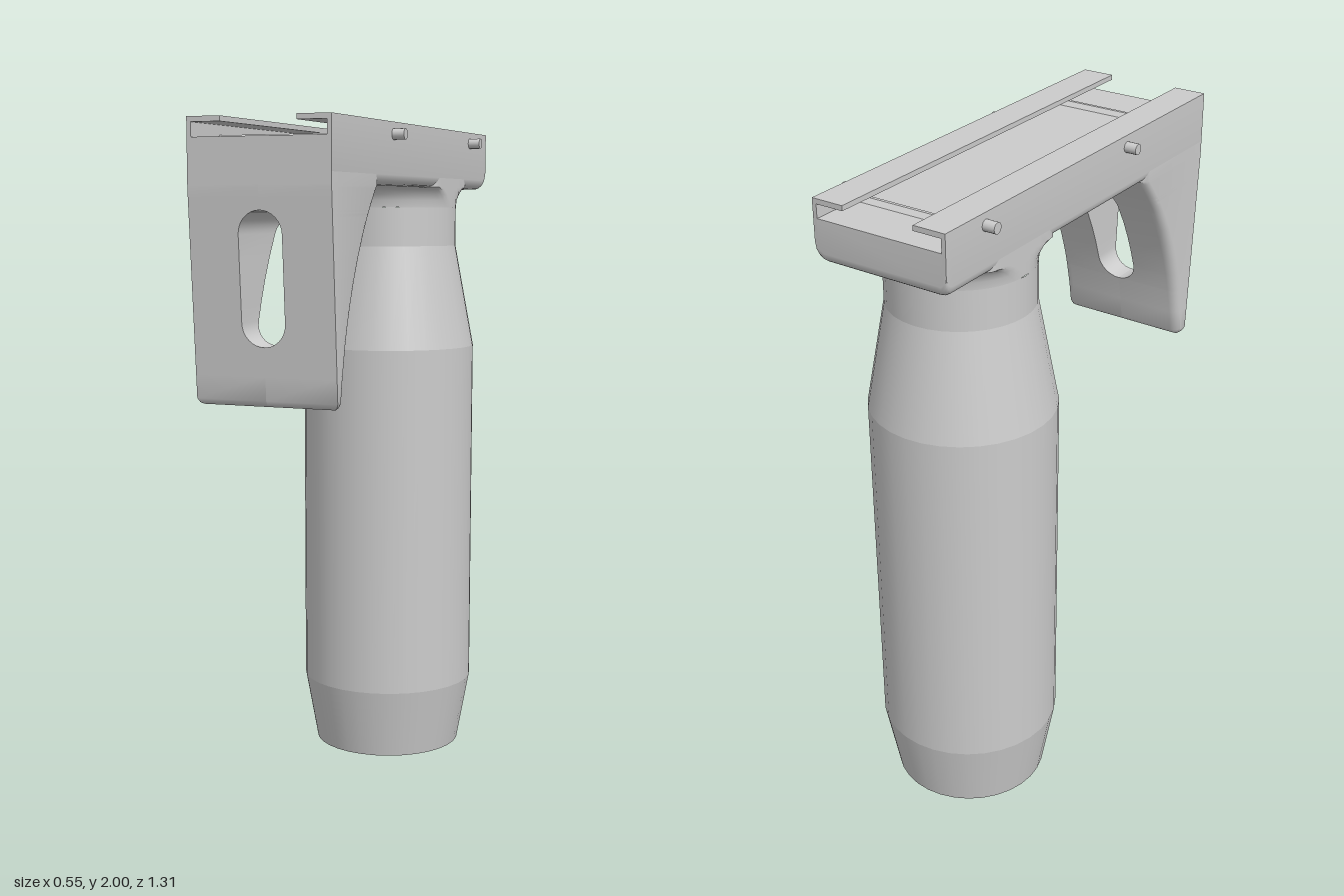
import * as THREE from 'three';
import { toCreasedNormals } from 'three/addons/utils/BufferGeometryUtils.js';

const material = new THREE.MeshStandardMaterial({ color: 0xcccccc });
const HALF = 0.213, ROUND = 0.03, GRIP_Z = -0.31;

function add(parent, name, geometry, x = 0, y = 0, z = 0) {
  const mesh = new THREE.Mesh(geometry, material);
  mesh.name = name;
  mesh.position.set(x, y, z);
  parent.add(mesh);
  return mesh;
}

// Skin equal-length rings, counterclockwise about the travel axis, and cap both ends.
function loft(rings, flatten) {
  const n = rings[0].length, last = (rings.length - 1) * n, index = [];
  for (let i = 0; i < rings.length - 1; i++) {
    for (let j = 0; j < n; j++) {
      const a = i * n + j, b = i * n + (j + 1) % n;
      index.push(a, b, b + n, a, b + n, a + n);
    }
  }
  for (const [a, b, c] of THREE.ShapeUtils.triangulateShape(rings[0].map(flatten), [])) {
    index.push(a, c, b);
  }
  for (const [a, b, c] of THREE.ShapeUtils.triangulateShape(rings[rings.length - 1].map(flatten), [])) {
    index.push(last + a, last + b, last + c);
  }
  const geometry = new THREE.BufferGeometry();
  geometry.setAttribute('position', new THREE.Float32BufferAttribute(rings.flat(2), 3));
  geometry.setIndex(index);
  return toCreasedNormals(geometry, 0.6);
}

// Rail section: T-slot open at the top, rounded lower corners.
function railRing(z, lift) {
  const right = [];
  for (let k = 0; k <= 4; k++) {
    const a = k * Math.PI / 8;
    right.push([HALF - ROUND + ROUND * Math.sin(a), 1.82 + lift + ROUND * (1 - Math.cos(a))]);
  }
  right.push([HALF, 2], [0.113, 2], [0.113, 1.985], [0.2, 1.985], [0.2, 1.945]);
  const left = right.map(([x, y]) => [-x, y]).reverse();
  return [...right, ...left].map(([x, y]) => [x, y, z]);
}

function railGeometry() {
  const rings = [];
  for (let k = 0; k <= 4; k++) {
    const a = k * Math.PI / 8;
    rings.push(railRing(-0.655 + ROUND * (1 - Math.cos(a)), ROUND * (1 - Math.sin(a))));
  }
  rings.push(railRing(0.655, 0));
  return loft(rings, p => new THREE.Vector2(p[0], p[1]));
}

// Front guard outline as depth against height.
const guardFront = y => 0.655 - 0.04 * Math.max(0, 1.81 - y) / 0.59;
function guardBack(y) {
  const t = (-0.46 + Math.sqrt(0.2116 + 0.48 * Math.max(0, 1.82 - y))) / 0.24;
  return 0.31 * (1 - t) ** 2 + 1.04 * t * (1 - t) + 0.57 * t * t;
}

// One half of the guard; the inner wall follows the rounded slot.
function guardHalf(side) {
  const r = 0.065, low = 1.445, high = 1.685;
  const rows = [[1.215, 0, 0.014], [1.22, 0, 0.006], [1.232, 0, 0], [1.3, 0, 0]];
  for (let k = 0; k <= 8; k++) {
    const a = k * Math.PI / 16;
    rows.push([low - r * Math.cos(a), r * Math.sin(a), 0]);
  }
  for (const y of [1.5, 1.56, 1.62]) rows.push([y, r, 0]);
  for (let k = 0; k <= 8; k++) {
    const a = k * Math.PI / 16;
    rows.push([high + r * Math.sin(a), r * Math.cos(a), 0]);
  }
  for (const y of [1.78, 1.81, 1.82, 1.86]) rows.push([y, 0, 0]);

  const rings = rows.map(([y, w, inset]) => {
    const front = guardFront(y) - inset, back = guardBack(y) + inset, outer = HALF - inset;
    const c = Math.min(ROUND, (front - back) * 0.8);
    const ring = [[w, y, back], [w, y, front], [outer, y, front]];
    for (let k = 0; k <= 4; k++) {
      const a = k * Math.PI / 8;
      ring.push([outer - c * (1 - Math.cos(a)), y, back + c * (1 - Math.sin(a))]);
    }
    return side > 0 ? ring : ring.map(([x, h, z]) => [-x, h, z]).reverse();
  });
  return loft(rings, p => new THREE.Vector2(p[2], p[0]));
}

// Flare under the rail, trimmed flush with the rail sides.
function collarGeometry() {
  const profile = [[0.215, 1.76], [0.217, 1.782], [0.224, 1.8], [0.235, 1.814], [0.252, 1.822], [0.252, 1.85]];
  const geometry = new THREE.LatheGeometry(profile.map(p => new THREE.Vector2(...p)), 64);
  const pos = geometry.attributes.position;
  for (let i = 0; i < pos.count; i++) {
    pos.setX(i, THREE.MathUtils.clamp(pos.getX(i), -HALF, HALF));
  }
  return toCreasedNormals(geometry, 0.6);
}

export function createModel() {
  const model = new THREE.Group();
  model.name = 'verticalGrip';

  add(model, 'rail', railGeometry());

  const guard = new THREE.Group();
  guard.name = 'frontGuard';
  add(guard, 'guardLeft', guardHalf(1));
  add(guard, 'guardRight', guardHalf(-1));
  model.add(guard);

  // Handle: stacked sections with a crisp edge between them.
  const handle = new THREE.Group();
  handle.name = 'handle';
  handle.position.z = GRIP_Z;
  const sections = [
    ['handleBase', 0, 0.235, 0.22, 0.275],
    ['handleBody', 0.22, 0.275, 1.32, 0.275],
    ['handleShoulder', 1.32, 0.275, 1.64, 0.215],
    ['handleNeck', 1.64, 0.215, 1.76, 0.215],
  ];
  for (const [name, y0, r0, y1, r1] of sections) {
    add(handle, name, new THREE.CylinderGeometry(r1, r0, y1 - y0, 32, 1, true), 0, (y0 + y1) / 2);
  }
  add(handle, 'handleBottom', new THREE.CircleGeometry(0.235, 32).rotateX(Math.PI / 2));
  add(handle, 'collar', collarGeometry());
  model.add(handle);

  // Low ridges across the slot floor.
  const ridge = new THREE.Shape([[-0.02, 0], [0.02, 0], [0.005, 0.012], [-0.005, 0.012]].map(p => new THREE.Vector2(...p)));
  for (const z of [-0.485, 0.48]) {
    const geometry = new THREE.ExtrudeGeometry(ridge, { depth: 0.4, bevelEnabled: false });
    geometry.translate(0, 0, -0.2).rotateY(Math.PI / 2);
    add(model, 'floorRidge', geometry, 0, 1.945, z);
  }

  // Cross pins projecting from both sides.
  for (const z of [-0.485, 0.205]) {
    for (const side of [-1, 1]) {
      const pin = new THREE.CylinderGeometry(0.016, 0.016, 0.046, 16).rotateZ(Math.PI / 2);
      add(model, 'crossPin', pin, side * 0.227, 1.965, z);
    }
  }
  return model;
}
